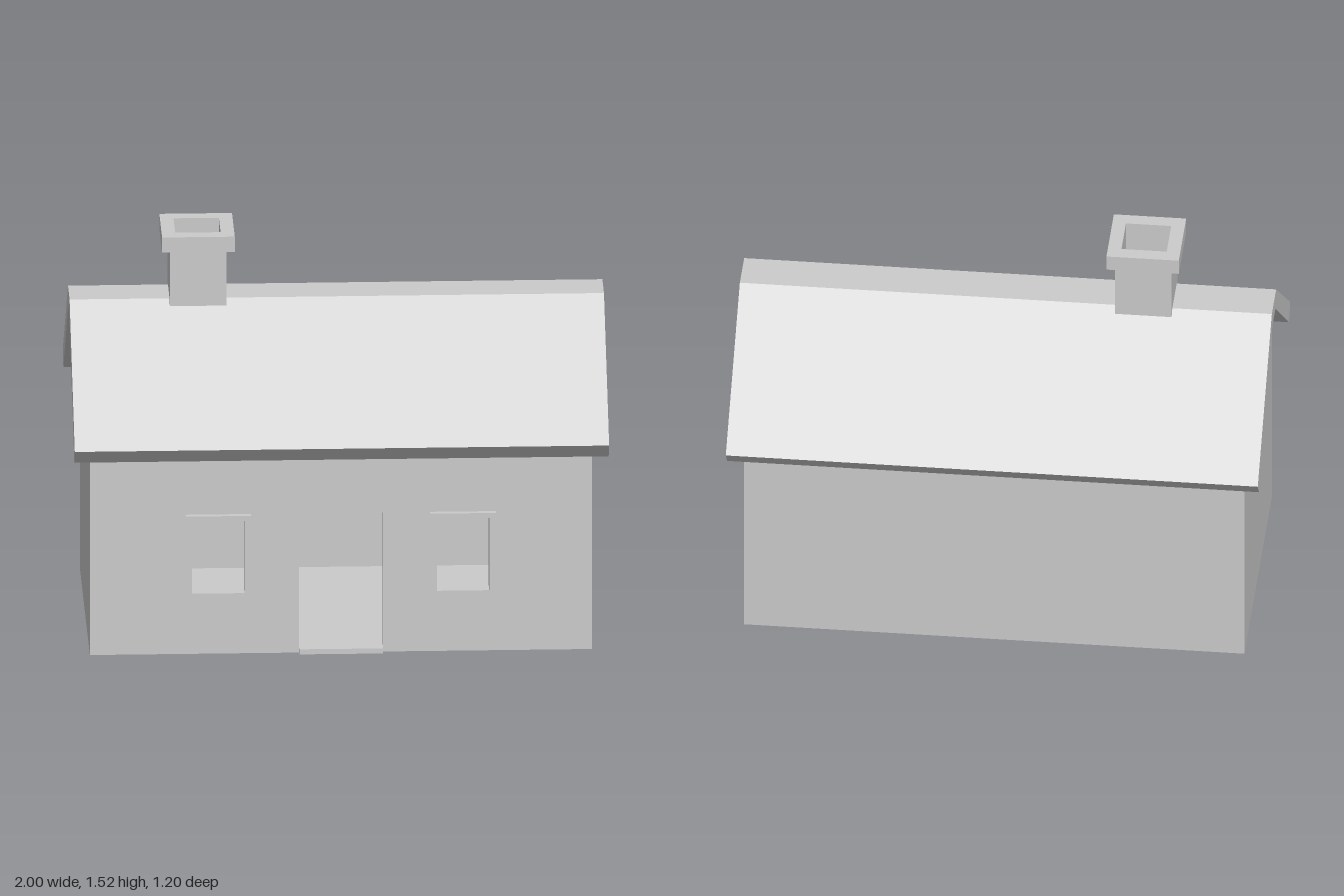
import * as THREE from 'three';

const material = new THREE.MeshStandardMaterial({ color: 0xcccccc, flatShading: true });

const poly = (points) => new THREE.Shape(points.map(([x, y]) => new THREE.Vector2(x, y)));
const rect = (x0, y0, x1, y1) => poly([[x0, y0], [x1, y0], [x1, y1], [x0, y1]]);

function withHoles(shape, ...holes) {
  shape.holes.push(...holes);
  return shape;
}

const extrude = (shape, depth) => new THREE.ExtrudeGeometry(shape, { depth, bevelEnabled: false });

// Extrudes a (z, y) profile along x, centred on x = 0
const alongX = (shape, length) =>
  extrude(shape, length).translate(0, 0, -length / 2).rotateY(-Math.PI / 2);

// Extrudes a plan shape upwards from y0 to y1
const upwards = (shape, y0, y1) =>
  extrude(shape, y1 - y0).rotateX(-Math.PI / 2).translate(0, y0, 0);

function box(x0, x1, y0, y1, z0, z1) {
  return new THREE.BoxGeometry(x1 - x0, y1 - y0, z1 - z0)
    .translate((x0 + x1) / 2, (y0 + y1) / 2, (z0 + z1) / 2);
}

export function createModel() {
  const house = new THREE.Group();
  house.name = 'cottage';
  const add = (name, geometry) => {
    const mesh = new THREE.Mesh(geometry, material);
    mesh.name = name;
    house.add(mesh);
    return mesh;
  };

  const W = 0.94, D = 0.508, T = 0.045; // half width, half depth, wall thickness
  const windows = [-0.46, 0.456];
  const innerW = 0.098, innerY0 = 0.245, innerY1 = 0.53;
  const opening = (x) => rect(x - innerW, innerY0, x + innerW, innerY1);

  // Front wall with door and window openings
  const front = withHoles(rect(-W, 0, W, 0.83),
    rect(-0.157, 0.005, 0.157, 0.55), ...windows.map(opening));
  add('frontWall', extrude(front, T).translate(0, 0, D - T));
  add('backWall', box(-W, W, 0, 0.83, -D, -D + T));
  add('floor', box(-W + T, W - T, 0, 0.005, -D + T, D - T));

  // Gable ends, reaching up to the underside of the roof
  const gable = poly([[-D, 0], [D, 0], [D, 0.81], [0.055, 1.19], [-0.055, 1.19], [-D, 0.81]]);
  for (const [name, side] of [['leftGable', 1], ['rightGable', -1]]) {
    add(name, alongX(gable, T)).position.x = side * (W - T / 2);
  }

  // Folded roof slab with a flat ridge
  add('roof', alongX(poly([
    [0.6, 0.835], [0.08, 1.26], [-0.08, 1.26], [-0.6, 0.835],
    [-0.552, 0.776], [-0.055, 1.19], [0.055, 1.19], [0.552, 0.776],
  ]), 2));

  // Door sill and raised window frames
  add('doorSill', box(-0.157, 0.157, 0, 0.02, D - T, 0.53));
  windows.forEach((x, i) => {
    const frame = withHoles(rect(x - 0.123, 0.222, x + 0.123, 0.55), opening(x));
    add(i ? 'leftWindowFrame' : 'rightWindowFrame', extrude(frame, 0.53 - D).translate(0, 0, D));
  });

  // Hollow chimney and its cap
  const ring = (hx, hz) => withHoles(rect(-hx, -hz, hx, hz), rect(-0.085, -0.083, 0.085, 0.083));
  add('chimneyStack', upwards(ring(0.106, 0.107), 1.2, 1.46)).position.x = -0.52;
  add('chimneyCap', upwards(ring(0.136, 0.137), 1.46, 1.52)).position.x = -0.52;

  return house;
}
